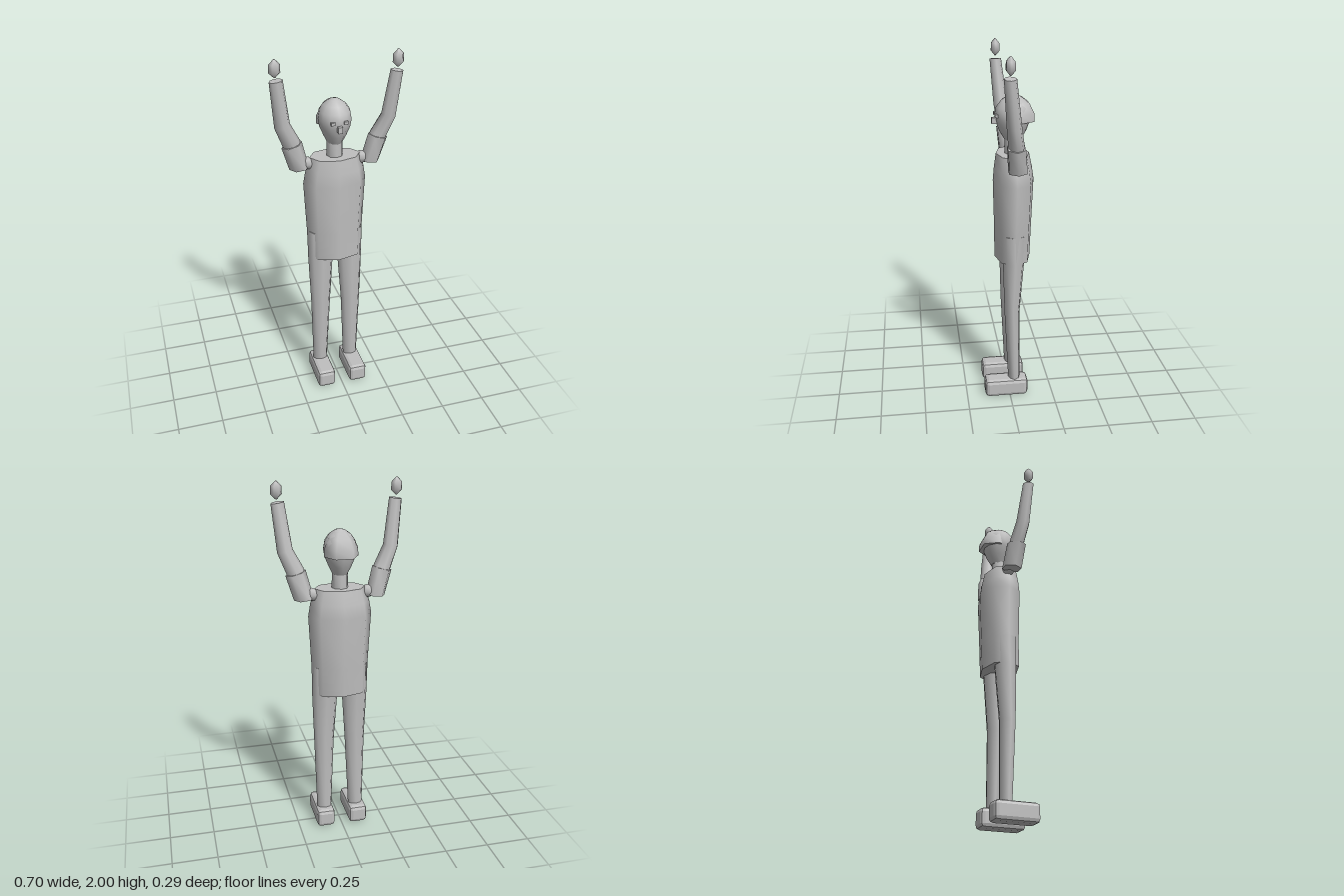
import * as THREE from 'three';
import { RoundedBoxGeometry } from 'three/addons/geometries/RoundedBoxGeometry.js';

const grey = new THREE.MeshStandardMaterial({ color: 0xbfbfbf });
grey.name = 'plain grey';

// Capped body through elliptical rings, bottom to top: [x, y, z, rx, rz, tilt]
function loft(rings, sides, phase = 0) {
  const pos = [], index = [];
  const addRing = ([x, y, z, rx, rz, tilt = 0]) => {
    const start = pos.length / 3;
    for (let i = 0; i < sides; i++) {
      const a = phase + (i / sides) * Math.PI * 2;
      const dx = Math.sin(a) * rx;
      pos.push(x + dx, y + dx * tilt, z + Math.cos(a) * rz);
    }
    return start;
  };
  const starts = rings.map(addRing);
  for (let r = 0; r < rings.length - 1; r++) {
    for (let i = 0; i < sides; i++) {
      const j = (i + 1) % sides, lo = starts[r], hi = starts[r + 1];
      index.push(lo + i, lo + j, hi + i, lo + j, hi + j, hi + i);
    }
  }
  // Caps have their own corners so the rims stay sharp
  const bottom = addRing(rings[0]), top = addRing(rings[rings.length - 1]);
  for (let i = 1; i < sides - 1; i++) {
    index.push(bottom, bottom + i + 1, bottom + i, top, top + i, top + i + 1);
  }
  const g = new THREE.BufferGeometry();
  g.setAttribute('position', new THREE.Float32BufferAttribute(pos, 3));
  g.setIndex(index);
  g.computeVertexNormals();
  return g;
}

export function createModel() {
  const model = new THREE.Group();
  model.name = 'figure';

  const add = (name, geometry, x = 0, y = 0, z = 0) => {
    const mesh = new THREE.Mesh(geometry, grey);
    mesh.name = name;
    mesh.position.set(x, y, z);
    model.add(mesh);
  };

  // Torso and neck
  add('torso', loft([
    [0, 0.84, -0.027, 0.157, 0.1],
    [0, 1.0, -0.03, 0.16, 0.103],
    [0, 1.29, -0.033, 0.175, 0.112],
    [0, 1.36, -0.031, 0.163, 0.104],
    [0, 1.44, -0.028, 0.14, 0.09],
  ], 8));
  add('neck', loft([[0, 1.42, -0.03, 0.045, 0.045], [0, 1.55, -0.03, 0.043, 0.043]], 8));

  // Egg-shaped head with a cap of hair on the back
  add('head', loft([
    [0, 1.515, -0.03, 0.04, 0.045],
    [0, 1.56, -0.03, 0.062, 0.072],
    [0, 1.61, -0.03, 0.083, 0.091],
    [0, 1.65, -0.03, 0.09, 0.098],
    [0, 1.69, -0.03, 0.083, 0.09],
    [0, 1.725, -0.03, 0.06, 0.064],
    [0, 1.748, -0.03, 0.028, 0.03],
    [0, 1.755, -0.03, 0.003, 0.003],
  ], 12));
  add('hair', loft([
    [0, 1.615, -0.06, 0.093, 0.092],
    [0, 1.66, -0.06, 0.09, 0.09],
    [0, 1.71, -0.055, 0.068, 0.068],
    [0, 1.74, -0.045, 0.038, 0.038],
    [0, 1.752, -0.04, 0.004, 0.004],
  ], 6, Math.PI / 6));
  add('nose', new THREE.BoxGeometry(0.024, 0.034, 0.035), 0, 1.618, 0.067);

  for (const s of [1, -1]) {
    const side = s > 0 ? 'left' : 'right';
    // Mirrors the ring centres and tilts of a limb
    const limb = (rings, sides, phase) =>
      loft(rings.map(([x, y, z, rx, rz, t = 0]) => [s * x, y, z, rx, rz, s * t]), sides, phase);

    add(side + 'Eye', new THREE.BoxGeometry(0.022, 0.016, 0.02), s * 0.035, 1.65, 0.06);

    // Raised arm
    add(side + 'Shoulder', new THREE.SphereGeometry(0.037, 6, 4), s * 0.152, 1.41, -0.03);
    add(side + 'Sleeve', limb([
      [0.196, 1.388, -0.03, 0.053, 0.055, -0.1],
      [0.236, 1.53, -0.017, 0.054, 0.052, -0.27],
    ], 6, Math.PI / 6));
    add(side + 'Arm', limb([
      [0.215, 1.46, -0.025, 0.045, 0.045, -0.3],
      [0.238, 1.54, -0.016, 0.046, 0.042, -0.3],
      [0.286, 1.645, 0.001, 0.041, 0.039, -0.22],
      [0.315, 1.892, 0.025, 0.035, 0.032, -0.14],
    ], 8));
    add(side + 'Hand', limb([
      [0.32, 1.907, 0.025, 0.003, 0.003],
      [0.32, 1.933, 0.025, 0.03, 0.026],
      [0.32, 1.975, 0.025, 0.029, 0.025],
      [0.32, 2.0, 0.025, 0.004, 0.004],
    ], 6, Math.PI / 6));

    // Leg and chamfered shoe
    add(side + 'Leg', limb([
      [0.094, 0.09, -0.027, 0.042, 0.033],
      [0.09, 0.53, -0.016, 0.057, 0.043],
      [0.085, 0.84, -0.025, 0.073, 0.06],
      [0.083, 1.0, -0.028, 0.075, 0.064],
    ], 8));
    const shoe = new RoundedBoxGeometry(0.106, 0.105, 0.248, 1, 0.022).toNonIndexed();
    shoe.computeVertexNormals();
    add(side + 'Shoe', shoe, s * 0.096, 0.0525, 0.02);
  }
  return model;
}
